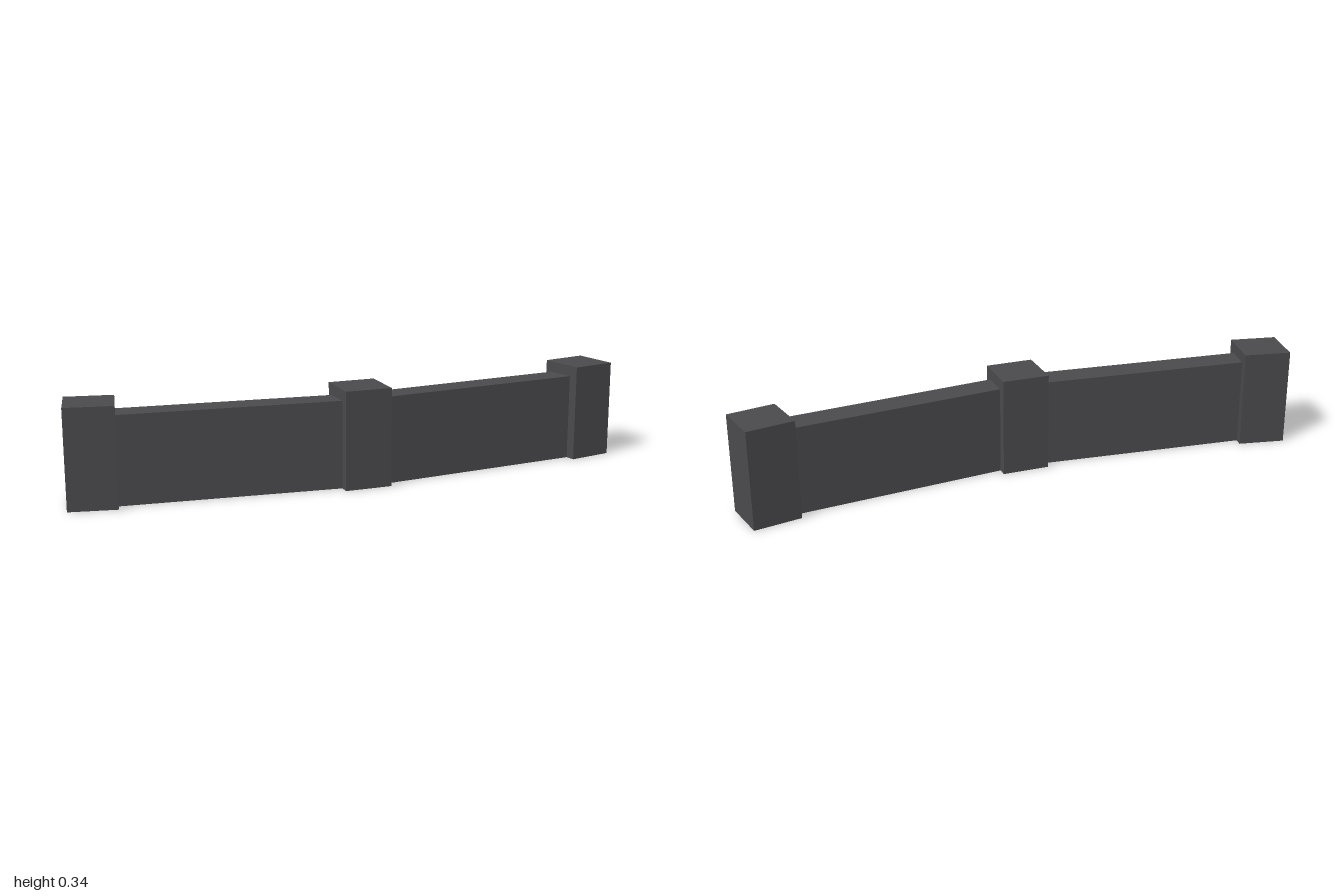
import * as THREE from 'three';

const stone = new THREE.MeshStandardMaterial({ color: 0x4a494d, side: THREE.DoubleSide });
stone.name = 'darkStone';

// Box standing on y = 0 with chosen faces left out (0 +x, 1 -x, 2 +y, 3 -y, 4 +z, 5 -z)
function openBox(w, h, d, skip) {
  const geo = new THREE.BoxGeometry(w, h, d).translate(0, h / 2, 0);
  const index = Array.from(geo.index.array);
  geo.setIndex(index.filter((_, i) => !skip.includes(Math.floor(i / 6))));
  geo.clearGroups();
  return geo;
}

function addPart(group, name, geo, x, z, turn) {
  const mesh = new THREE.Mesh(geo, stone);
  mesh.name = name;
  mesh.position.set(x, 0, z);
  mesh.rotation.y = turn;
  group.add(mesh);
}

export function createModel() {
  const group = new THREE.Group();
  group.name = 'bentWall';

  // Square posts, hollow underneath
  const post = openBox(0.165, 0.343, 0.165, [3]);
  addPart(group, 'centrePost', post, 0, 0.0515, 0);

  // Straight wall panels run into the posts and are open below
  const panel = openBox(0.905, 0.305, 0.097, [0, 1, 3]);
  for (const [side, label] of [[1, 'left'], [-1, 'right']]) {
    addPart(group, label + 'Panel', panel, side * 0.45, 0.0138, side * 0.0985);
    addPart(group, label + 'EndPost', post, side * 0.903, -0.037, side * 0.195);
  }
  return group;
}
